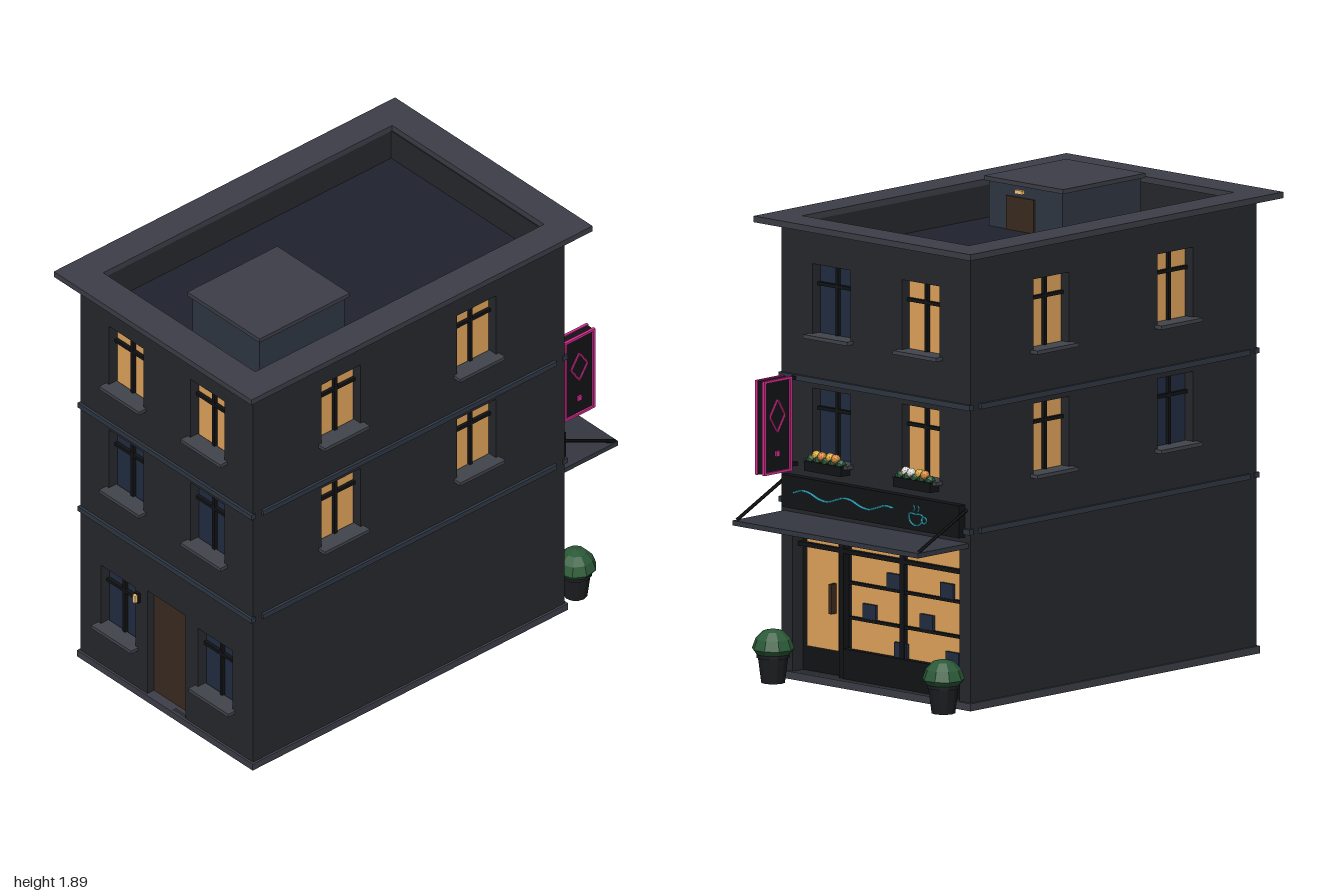
import * as THREE from 'three';

const mat = (color, side = THREE.FrontSide) => new THREE.MeshStandardMaterial({ color, side, flatShading: true });
const M = {
  wall: mat(0x26282c), coping: mat(0x3d3e47), trim: mat(0x2f3743), sill: mat(0x41444c), deck: mat(0x1f232d),
  frame: mat(0x121316), dark: mat(0x222d42), lit: mat(0xe2a55c), wood: mat(0x3a2a20), lamp: mat(0xffcc80),
  pink: mat(0xd82c92), cyan: mat(0x35c4dc), pot: mat(0x1c1d20), leaf: mat(0x2c5a38),
  canopy: mat(0x353741), yellow: mat(0xe0b040), orange: mat(0xd98a3c), white: mat(0xe6e2da),
};

function add(parent, name, geo, material, x = 0, y = 0, z = 0) {
  const mesh = new THREE.Mesh(geo, material);
  mesh.name = name;
  mesh.position.set(x, y, z);
  parent.add(mesh);
  return mesh;
}

// Box given by its extents on each axis
function box(parent, name, material, [x0, x1], [y0, y1], [z0, z1]) {
  return add(parent, name, new THREE.BoxGeometry(x1 - x0, y1 - y0, z1 - z0), material,
    (x0 + x1) / 2, (y0 + y1) / 2, (z0 + z1) / 2);
}

function tube(parent, name, material, points, radius, closed = false, straight = false) {
  const v = points.map(p => new THREE.Vector3(...p));
  let curve = new THREE.CatmullRomCurve3(v, closed);
  if (straight) {
    curve = new THREE.CurvePath();
    for (let i = 0; i < v.length - 1; i++) curve.add(new THREE.LineCurve3(v[i], v[i + 1]));
  }
  return add(parent, name, new THREE.TubeGeometry(curve, v.length * 6, radius, 6, closed), material);
}

const T = 0.06, TOP = 1.82;
const HX = 0.51, ZF = 0.925, ZB = -0.71, ZC = (ZF + ZB) / 2;

function group(parent, name, x = 0, y = 0, z = 0, ry = 0) {
  const g = new THREE.Group();
  g.name = name;
  g.position.set(x, y, z);
  g.rotation.y = ry;
  parent.add(g);
  return g;
}

// Wall whose outer face is local z = 0, with rectangular openings [x0, x1, y0, y1]
function wall(parent, name, width, openings) {
  const s = new THREE.Shape([[-1, 0], [1, 0], [1, TOP], [-1, TOP]].map(([x, y]) => new THREE.Vector2(x * width / 2, y)));
  for (const [a, b, c, d] of openings)
    s.holes.push(new THREE.Path([[a, c], [a, d], [b, d], [b, c]].map(p => new THREE.Vector2(...p))));
  add(parent, name, new THREE.ExtrudeGeometry(s, { depth: T, bevelEnabled: false }), M.wall, 0, 0, -T);
}

const opening = ({ x, y }) => [x - 0.102, x + 0.102, y, y + 0.285];

// Recessed pane, cross bars and projecting sill
function windowUnit(parent, { x, y, lit }) {
  const g = group(parent, 'window', x, y);
  box(g, 'windowPane', lit ? M.lit : M.dark, [-0.102, 0.102], [0, 0.285], [-0.06, -0.045]);
  box(g, 'mullion', M.frame, [-0.007, 0.007], [0, 0.285], [-0.045, -0.03]);
  box(g, 'transom', M.frame, [-0.102, 0.102], [0.195, 0.209], [-0.045, -0.03]);
  box(g, 'windowSill', M.sill, [-0.118, 0.118], [-0.01, 0.005], [-0.04, 0.037]);
}

function facade(root, name, pos, ry, width, windows, extra = []) {
  const g = group(root, name, ...pos, ry);
  wall(g, name + 'Wall', width, [...windows.map(opening), ...extra]);
  windows.forEach(w => windowUnit(g, w));
  return g;
}

const upper = (dx, flags) => flags.map((lit, i) => ({ x: i % 2 ? dx : -dx, y: i < 2 ? 1.39 : 0.893, lit }));

// Shop front, in the frame of the back wall (outward is local +z)
function shopFront(g) {
  const shop = group(g, 'shopFront');
  box(shop, 'shopBacking', M.frame, [-0.45, 0.45], [0.03, 0.64], [-0.075, -0.06]);
  box(shop, 'stallRiser', M.frame, [-0.2, 0.45], [0.03, 0.15], [-0.06, -0.025]);
  box(shop, 'shopDoorPane', M.lit, [-0.42, -0.25], [0.13, 0.61], [-0.06, -0.05]);
  box(shop, 'shopWindowPane', M.lit, [-0.18, 0.43], [0.15, 0.62], [-0.06, -0.05]);
  for (const x of [-0.215, 0.11]) box(shop, 'shopMullion', M.frame, [x - 0.012, x + 0.012], [0.03, 0.64], [-0.06, -0.03]);
  box(shop, 'shopTransom', M.frame, [-0.45, 0.45], [0.53, 0.547], [-0.06, -0.03]);
  for (const y of [0.27, 0.41]) box(shop, 'shelf', M.frame, [-0.18, 0.43], [y, y + 0.012], [-0.06, -0.035]);
  for (const [x, y] of [[-0.11, 0.282], [0.02, 0.422], [0.2, 0.282], [0.31, 0.422], [0.06, 0.15], [0.34, 0.15]])
    box(shop, 'shelfGoods', M.dark, [x, x + 0.07], [y, y + 0.06], [-0.05, -0.038]);
  box(shop, 'shopDoorHandle', M.wood, [-0.275, -0.26], [0.28, 0.4], [-0.05, -0.02]);

  // Flat canopy with stay rods and lights
  const c = group(g, 'canopy');
  box(c, 'canopySlab', M.canopy, [-0.5, 0.5], [0.648, 0.668], [0, 0.29]);
  box(c, 'lightStrip', M.lit, [-0.42, 0.42], [0.643, 0.648], [0.262, 0.27]);
  for (const x of [-0.3, 0, 0.3]) box(c, 'downlight', M.lamp, [x - 0.016, x + 0.016], [0.64, 0.648], [0.12, 0.152]);
  for (const x of [-0.49, 0.49]) tube(c, 'stayRod', M.frame, [[x, 0.8, 0], [x, 0.668, 0.28]], 0.007, false, true);

  // Fascia with glowing wave and cup ornament
  const f = group(g, 'fascia', 0, 0.755);
  box(f, 'fasciaBoard', M.frame, [-0.48, 0.48], [-0.065, 0.065], [0, 0.033]);
  const wave = Array.from({ length: 13 }, (_, i) => [-0.41 + i * 0.045, 0.014 * Math.sin(i * 1.25), 0.038]);
  tube(f, 'waveLight', M.cyan, wave, 0.005);
  const cup = group(f, 'cupLight', 0.25, -0.01, 0.038);
  tube(cup, 'cupBowl', M.cyan, [[-0.035, 0.01, 0], [-0.03, -0.02, 0], [0, -0.034, 0], [0.03, -0.02, 0], [0.035, 0.01, 0], [0, 0.011, 0]], 0.004, true);
  add(cup, 'cupHandle', new THREE.TorusGeometry(0.013, 0.004, 6, 12), M.cyan, 0.045, -0.008, 0);
  for (const x of [-0.012, 0.012]) tube(cup, 'steam', M.cyan, [[x, 0.022, 0], [x + 0.006, 0.034, 0], [x, 0.048, 0]], 0.003);
}

function flowerBox(parent, x, colors) {
  const g = group(parent, 'flowerBox', x, 0.855, 0.03);
  box(g, 'planterTrough', M.frame, [-0.1, 0.1], [0, 0.04], [-0.03, 0.022]);
  for (let i = 0; i < 5; i++)
    add(g, 'foliage', new THREE.IcosahedronGeometry(0.022, 0), M.leaf, -0.08 + i * 0.04, 0.046, 0);
  colors.forEach((m, i) => add(g, 'flower', new THREE.IcosahedronGeometry(0.019, 1), m, -0.055 + i * 0.037, 0.064, 0.004 * (i % 2 ? 1 : -1)));
}

function pottedShrub(parent, x) {
  const g = group(parent, 'pottedShrub', x, 0, -0.812);
  add(g, 'pot', new THREE.CylinderGeometry(0.062, 0.048, 0.105, 12), M.pot, 0, 0.0525, 0);
  add(g, 'potRim', new THREE.CylinderGeometry(0.067, 0.067, 0.014, 12), M.pot, 0, 0.108, 0);
  const profile = [[0.001, 0.113], [0.07, 0.115], [0.085, 0.135], [0.07, 0.175], [0.042, 0.205], [0.001, 0.215]];
  add(g, 'shrub', new THREE.LatheGeometry(profile.map(p => new THREE.Vector2(...p)), 9), M.leaf);
}

// Projecting sign with glowing border and diamond on both faces
function bladeSign(parent) {
  const g = group(parent, 'bladeSign', 0.43, 1.035, -0.84);
  box(g, 'signPanel', M.frame, [-0.018, 0.018], [-0.185, 0.185], [-0.075, 0.075]);
  for (const y of [-0.17, 0.175]) box(g, 'signBracket', M.frame, [-0.008, 0.008], [y - 0.007, y + 0.007], [0.07, 0.135]);
  for (const s of [-1, 1]) {
    const x = s * 0.02;
    for (const k of [-1, 1]) {
      box(g, 'signBorder', M.pink, [x - 0.006, x + 0.006], [-0.189, 0.189], [k * 0.074 - 0.005, k * 0.074 + 0.005]);
      box(g, 'signBorder', M.pink, [x - 0.006, x + 0.006], [k * 0.184 - 0.005, k * 0.184 + 0.005], [-0.074, 0.074]);
    }
    tube(g, 'diamondLight', M.pink, [[x, 0.105, 0], [x, 0.04, 0.043], [x, -0.025, 0], [x, 0.04, -0.043], [x, 0.105, 0]], 0.005, false, true);
    box(g, 'squareLight', M.pink, [x - 0.005, x + 0.005], [-0.121, -0.099], [-0.011, 0.011]);
  }
}

function roof(root) {
  const g = group(root, 'roof');
  box(g, 'roofDeck', M.deck, [-0.45, 0.45], [1.66, 1.69], [ZB + T, ZF - T]);
  for (const z of [[0.86, 1], [-0.79, -0.655]]) box(g, 'coping', M.coping, [-0.585, 0.585], [TOP, 1.845], z);
  for (const x of [[-0.585, -0.45], [0.45, 0.585]]) box(g, 'coping', M.coping, x, [TOP, 1.845], [-0.655, 0.86]);
  box(g, 'roofHut', M.trim, [-0.07, 0.328], [1.69, 1.872], [0.283, 0.728]);
  box(g, 'roofHutCap', M.coping, [-0.085, 0.343], [1.872, 1.89], [0.27, 0.742]);
  box(g, 'roofHutDoor', M.wood, [0.08, 0.23], [1.69, 1.825], [0.276, 0.29]);
  box(g, 'roofHutLamp', M.lamp, [0.135, 0.175], [1.84, 1.855], [0.268, 0.285]);
}

export function createModel() {
  const root = new THREE.Group();
  root.name = 'cornerShopBuilding';

  // Four facades
  const ground = [{ x: -0.288, y: 0.217, lit: false }, { x: 0.287, y: 0.217, lit: false }];
  const front = facade(root, 'front', [0, 0, ZF], 0, 2 * HX,
    [...upper(0.241, [true, true, false, false]), ...ground], [[-0.115, 0.112, 0.03, 0.525]]);
  box(front, 'frontDoor', M.wood, [-0.115, 0.112], [0.03, 0.525], [-0.06, -0.035]);
  box(front, 'wallLampMount', M.frame, [-0.18, -0.157], [0.445, 0.49], [0, 0.012]);
  box(front, 'wallLamp', M.lamp, [-0.176, -0.161], [0.45, 0.484], [0.012, 0.025]);

  const back = facade(root, 'back', [0, 0, ZB], Math.PI, 2 * HX,
    upper(0.241, [false, true, false, true]), [[-0.45, 0.45, 0.03, 0.64]]);
  shopFront(back);
  flowerBox(back, -0.241, [M.yellow, M.orange, M.yellow, M.orange]);
  flowerBox(back, 0.241, [M.white, M.white, M.yellow, M.orange]);

  const side = ZF - ZB - 2 * T;
  facade(root, 'plusXSide', [HX, 0, ZC], Math.PI / 2, side, upper(0.355, [true, true, true, true]));
  facade(root, 'minusXSide', [-HX, 0, ZC], -Math.PI / 2, side, upper(0.355, [true, true, true, false]));

  // Plinth and string courses
  box(root, 'plinth', M.coping, [-0.52, 0.52], [0, 0.03], [ZB - 0.01, ZF + 0.01]);
  for (const y of [0.703, 1.2]) {
    for (const s of [-1, 1]) box(root, 'sideStringCourse', M.trim, [s * 0.51 - 0.012, s * 0.51 + 0.012], [y, y + 0.022], [-0.66, 0.88]);
    for (const z of [ZB, ZF]) box(root, 'endStringCourse', M.trim, [-0.515, 0.515], [y, y + 0.022], [z - 0.012, z + 0.012]);
  }

  roof(root);
  bladeSign(root);
  for (const x of [-0.46, 0.46]) pottedShrub(root, x);
  return root;
}
